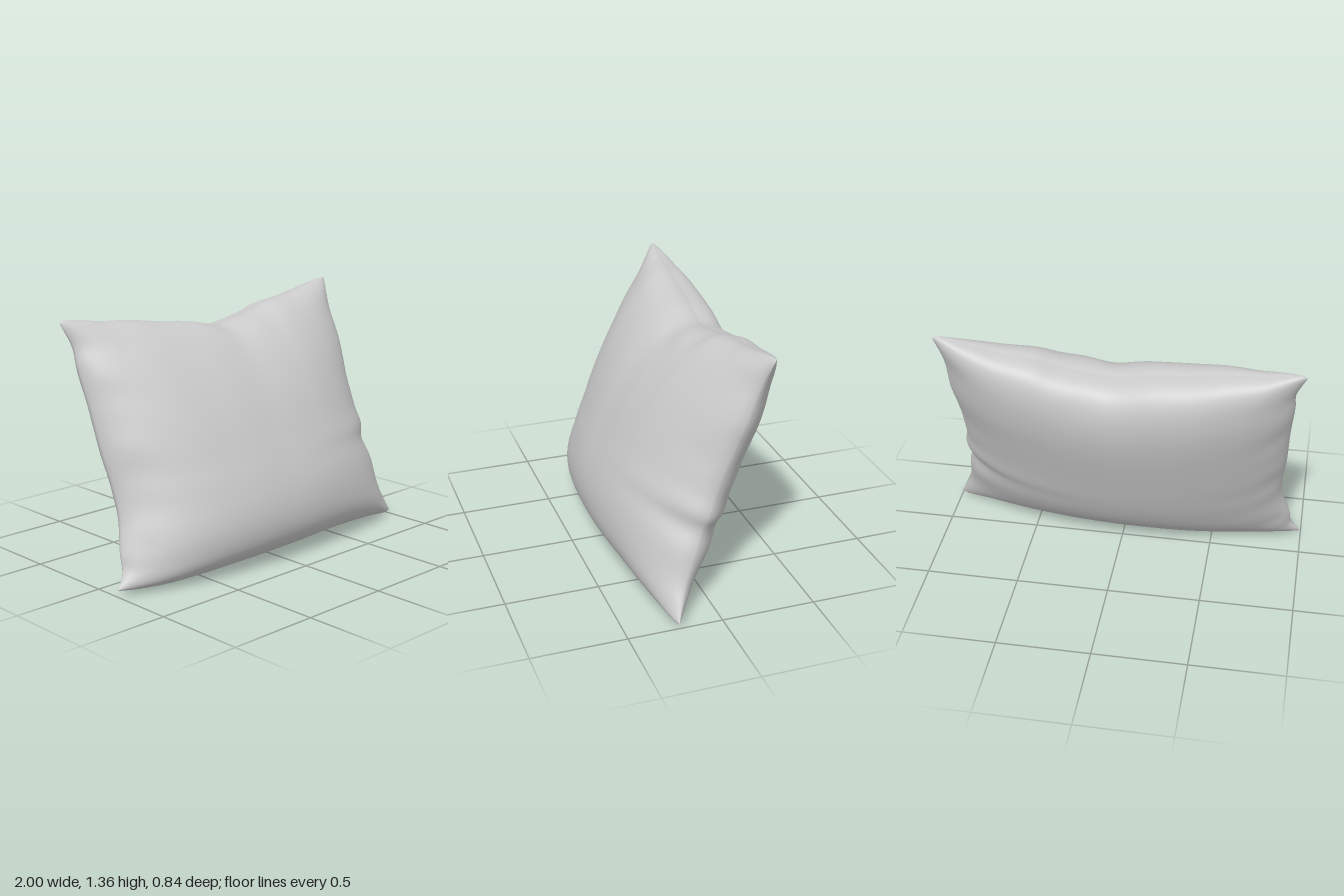
import * as THREE from 'three';

const curve = (pts) => new THREE.CatmullRomCurve3(pts.map((p) => new THREE.Vector3(...p)));

// Seam edges: bottom and top run from -x to +x, the sides run upwards.
const bottom = curve([[-1, 0.035, 0.155], [-0.96, 0.027, 0.16], [-0.75, 0.012, 0.195], [-0.3, 0.012, 0.21], [0.1, 0.02, 0.215], [0.5, 0.03, 0.215], [0.8, 0.025, 0.225], [0.97, 0.015, 0.23], [1, 0.025, 0.23]]);
const top = curve([[-0.97, 1.325, -0.3], [-0.94, 1.333, -0.3], [-0.83, 1.32, -0.295], [-0.75, 1.305, -0.29], [-0.58, 1.29, -0.28], [-0.4, 1.262, -0.27], [-0.2, 1.238, -0.255], [0, 1.2, -0.24], [0.12, 1.213, -0.24], [0.32, 1.25, -0.25], [0.4, 1.274, -0.255], [0.6, 1.3, -0.26], [0.75, 1.33, -0.265], [0.92, 1.36, -0.265], [0.94, 1.352, -0.265]]);
const sideCurve = (xy, z0, z1) => curve(xy.map(([x, y]) => [x, y, z0 + (z1 - z0) * (y - xy[0][1]) / (xy[xy.length - 1][1] - xy[0][1])]));
const left = sideCurve([[1, 0.025], [0.96, 0.1], [0.92, 0.19], [0.895, 0.36], [0.87, 0.46], [0.89, 0.53], [0.873, 0.64], [0.885, 0.9], [0.9, 1], [0.905, 1.22], [0.94, 1.352]], 0.23, -0.265);
const right = sideCurve([[-1, 0.035], [-0.945, 0.11], [-0.93, 0.2], [-0.885, 0.36], [-0.88, 0.5], [-0.895, 0.66], [-0.905, 0.9], [-0.92, 1.1], [-0.92, 1.2], [-0.97, 1.325]], 0.155, -0.3);

// Leaning directions of the seam plane
const UP = new THREE.Vector3(0, 0.937, -0.35);
const NORMAL = new THREE.Vector3(0, 0.35, 0.937);
const bump = (x, c, w) => Math.exp(-(((x - c) / w) ** 2));

// Smooth patch spanning the four seam edges
function seamPatch(e, u, v) {
  const p = new THREE.Vector3();
  p.addScaledVector(e.bottom[u.i], 1 - v.t).addScaledVector(e.top[u.i], v.t);
  p.addScaledVector(e.right[v.i], 1 - u.t).addScaledVector(e.left[v.i], u.t);
  p.addScaledVector(e.bottom[0], -(1 - u.t) * (1 - v.t)).addScaledVector(e.bottom[e.n], -u.t * (1 - v.t));
  p.addScaledVector(e.top[0], -(1 - u.t) * v.t).addScaledVector(e.top[e.n], -u.t * v.t);
  return p;
}

// Short soft folds running inwards from the side seams and the top dent
function folds(a, b, front) {
  const sideFade = Math.exp(-(1 - Math.abs(a)) * 15);
  const s = a > 0 ? 1 : 0;
  const side = Math.sin(b * 13 + s * 1.7 + front) + 0.6 * Math.sin(b * 23 + s * 2 + a * 5);
  const notch = s ? bump(b, -0.3, 0.07) : bump(b, -0.72, 0.07);
  const topFade = Math.exp(-(1 - b) * 7) * bump(a, 0.1, 0.35);
  const crease = Math.sin(a * 19 + b * 9 + front * 2);
  return sideFade * (0.011 * side - 0.022 * notch) + topFade * (front ? 0.014 : 0.003) * crease;
}

// Profile of each half from seam to seam: depth, its change with height,
// then [power, rounding, swell] below and above the middle
const SHAPES = {
  front: { sign: 1, depth: 0.318, taper: -0.1, low: [3.3, 0.43, -0.03], high: [2.2, 0.47, 0] },
  back: { sign: -1, depth: 0.268, taper: 0.02, low: [3, 0.58, -0.02], high: [4, 0.42, 0.075] },
};

// One cloth half: the patch inflated to one side of the seam
function createPanel(name, shape) {
  const nu = 110, nv = 90;
  const front = shape.sign > 0;
  const spread = (k, n) => Math.sin((k / n - 0.5) * Math.PI); // denser near the seams
  const sample = (c, n) => Array.from({ length: n + 1 }, (_, k) => c.getPointAt((spread(k, n) + 1) / 2));
  const edges = { bottom: sample(bottom, nu), top: sample(top, nu), left: sample(left, nv), right: sample(right, nv), n: nu };
  const geo = new THREE.PlaneGeometry(2, 2, nu, nv);
  const pos = geo.attributes.position;
  for (let j = 0; j <= nv; j++) {
    for (let i = 0; i <= nu; i++) {
      const a = spread(i, nu), b = -spread(j, nv);
      const p = seamPatch(edges, { i, t: (a + 1) / 2 }, { i: nv - j, t: (b + 1) / 2 });
      const [power, round, swell] = b < 0 ? shape.low : shape.high;
      const fa = Math.max(0, 1 - Math.abs(a) ** 2.5) ** 0.6;
      const fb = Math.max(0, 1 - Math.abs(b) ** power) ** round;
      const depth = shape.depth * (1 + shape.taper * b);
      const edge = Math.min(1, 4 * Math.min(1 - a * a, 1 - b * b));
      p.addScaledVector(NORMAL, shape.sign * (depth * fa * fb + edge * folds(a, b, front ? 1 : 0)));
      // Cloth swelling past the seam
      p.addScaledVector(UP, swell * fa * Math.abs(b) ** 8 * Math.sqrt(Math.max(0, 1 - b * b)) * 1.6);
      p.y = Math.max(p.y, 0);
      pos.setXYZ(j * (nu + 1) + i, p.x, p.y, p.z);
    }
  }
  // The back half faces the other way
  if (!front) geo.index.array.reverse();
  geo.computeVertexNormals();
  const mesh = new THREE.Mesh(geo, new THREE.MeshStandardMaterial({ color: 0xcccccc, side: THREE.DoubleSide }));
  mesh.name = name;
  return mesh;
}

export function createModel() {
  const pillow = new THREE.Group();
  pillow.name = 'pillow';
  pillow.add(createPanel('frontPanel', SHAPES.front), createPanel('backPanel', SHAPES.back));
  return pillow;
}
